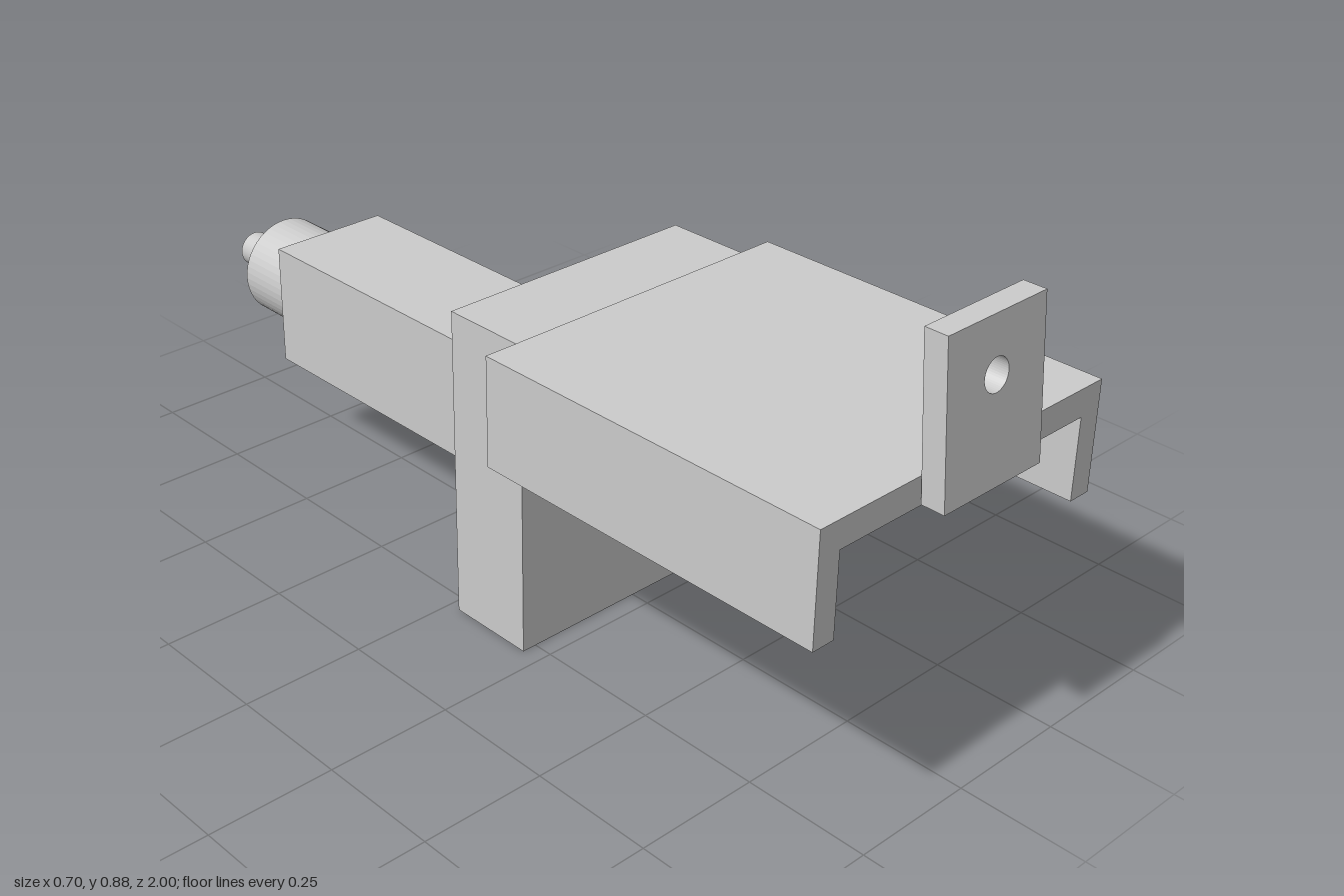
import * as THREE from 'three';

const mat = new THREE.MeshStandardMaterial({ color: 0xcccccc });

export function createModel() {
  const model = new THREE.Group();

  const add = (name, geometry) => {
    const mesh = new THREE.Mesh(geometry, mat);
    mesh.name = name;
    model.add(mesh);
    return mesh;
  };
  // Box given by its limits on each axis
  const box = (name, x0, x1, y0, y1, z0, z1) =>
    add(name, new THREE.BoxGeometry(x1 - x0, y1 - y0, z1 - z0)
      .translate((x0 + x1) / 2, (y0 + y1) / 2, (z0 + z1) / 2));
  const polygon = (pts) => new THREE.Shape(pts.map(([x, y]) => new THREE.Vector2(x, y)));
  const extrude = (shape, depth) =>
    new THREE.ExtrudeGeometry(shape, { depth, bevelEnabled: false, curveSegments: 24 });

  // Upright plate and the stepped flange behind it
  box('mountingPlate', -0.28, 0.28, 0, 0.63, 0.025, 0.21);
  box('rearFlange', -0.22, 0.22, 0.11, 0.55, -0.045, 0.025);

  // Hood: an inverted channel reaching forward
  const channel = polygon([
    [-0.35, 0.415], [-0.302, 0.415], [-0.302, 0.577], [0.302, 0.577],
    [0.302, 0.415], [0.35, 0.415], [0.35, 0.632], [-0.35, 0.632],
  ]);
  add('hood', extrude(channel, 0.75).translate(0, 0, 0.2));

  // Inner blocks joining the hood walls to the plate
  for (const s of [-1, 1]) {
    const a = s * 0.258, b = s * 0.302;
    box(s > 0 ? 'leftBlock' : 'rightBlock',
      Math.min(a, b), Math.max(a, b), 0.415, 0.577, 0.165, 0.3);
  }

  // Front tab with a hole, leaning back
  const tab = polygon([[-0.12, 0.583], [0.12, 0.583], [0.12, 0.88], [-0.12, 0.88]]);
  tab.holes.push(new THREE.Path().absarc(0, 0.777, 0.03, 0, Math.PI * 2, true));
  const tabGeometry = extrude(tab, 0.045);
  const p = tabGeometry.attributes.position;
  for (let i = 0; i < p.count; i++) {
    p.setZ(i, p.getZ(i) + 0.955 - (p.getY(i) - 0.583) * 0.078);
  }
  tabGeometry.computeVertexNormals();
  add('frontTab', tabGeometry);

  // Rear arm in three layers; the middle one has a rounded pocket on its left side
  box('armBottom', -0.13, 0.13, 0.2, 0.238, -0.72, -0.045);
  box('armTop', -0.13, 0.13, 0.418, 0.455, -0.72, -0.045);
  const core = new THREE.Shape();
  core.moveTo(-0.13, 0.045);
  core.lineTo(0.015, 0.045);
  core.absarc(0.13, 0.045, 0.115, Math.PI, Math.PI / 2, true);
  core.lineTo(0.13, 0.72);
  core.lineTo(-0.13, 0.72);
  add('armCore', extrude(core, 0.18).rotateX(-Math.PI / 2).translate(0, 0.238, 0));

  // Hollow collar and the pin inside it
  const collar = new THREE.Shape().absarc(0, 0.325, 0.105, 0, Math.PI * 2, false);
  collar.holes.push(new THREE.Path().absarc(0, 0.325, 0.077, 0, Math.PI * 2, true));
  add('collar', extrude(collar, 0.163).translate(0, 0, -0.883));
  add('pin', new THREE.CylinderGeometry(0.037, 0.037, 0.28, 32)
    .rotateX(Math.PI / 2).translate(0, 0.325, -0.86));

  return model;
}
